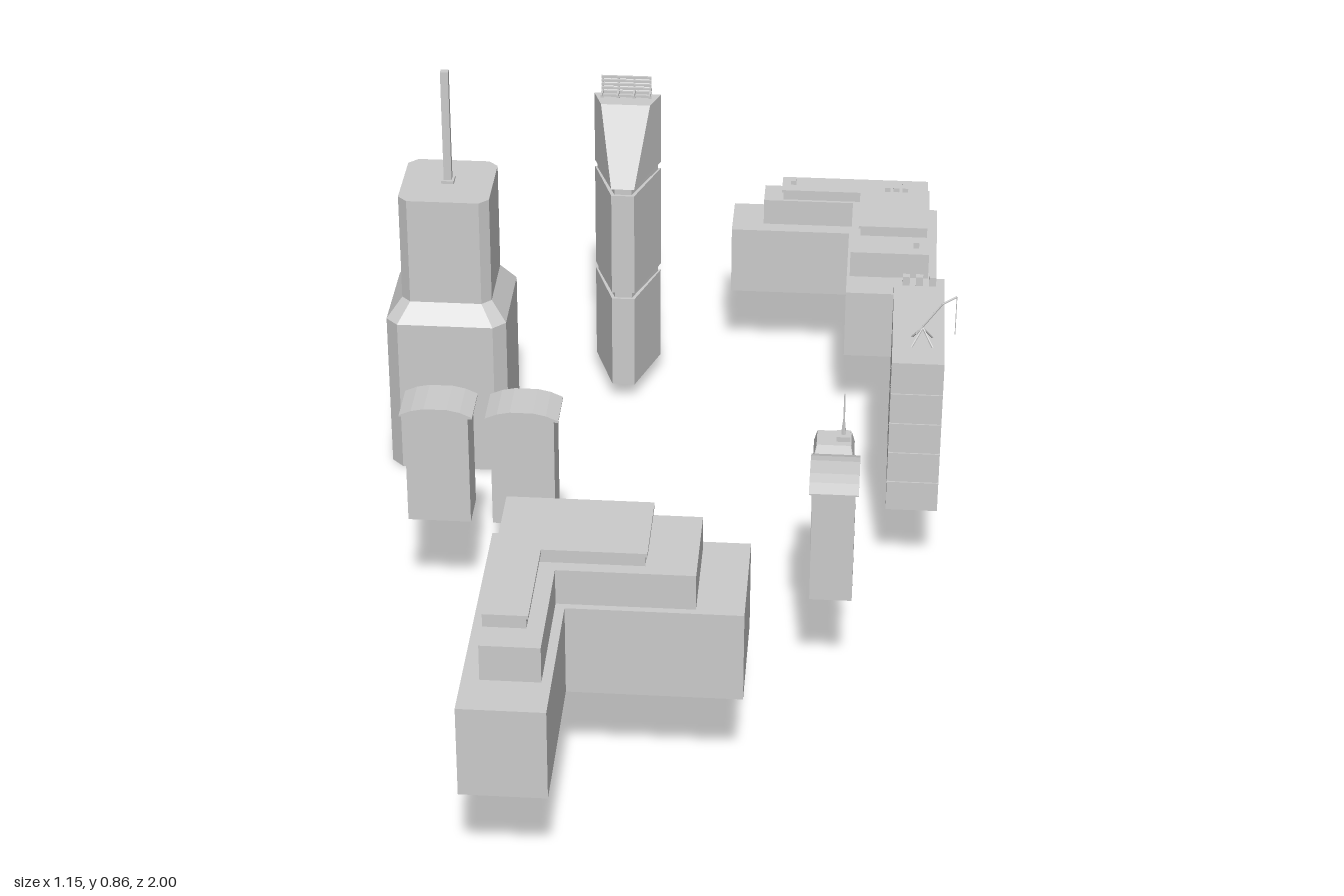
import * as THREE from 'three';

const grey = new THREE.MeshStandardMaterial({ color: 0xcccccc, flatShading: true, side: THREE.DoubleSide });

function add(parent, name, geometry, x = 0, y = 0, z = 0) {
  const mesh = new THREE.Mesh(geometry, grey);
  mesh.name = name;
  mesh.position.set(x, y, z);
  parent.add(mesh);
  return mesh;
}

function group(parent, name, x = 0, y = 0, z = 0) {
  const g = new THREE.Group();
  g.name = name;
  g.position.set(x, y, z);
  parent.add(g);
  return g;
}

// Box given by its extents on each axis
function box(parent, name, x0, x1, y0, y1, z0, z1) {
  return add(parent, name, new THREE.BoxGeometry(x1 - x0, y1 - y0, z1 - z0),
    (x0 + x1) / 2, (y0 + y1) / 2, (z0 + z1) / 2);
}

// Closed solid through convex rings of [x, y, z], counter-clockwise from above
function loft(rings) {
  const out = [];
  const tri = (a, b, c) => out.push(...a, ...b, ...c);
  const n = rings[0].length;
  for (let r = 0; r < rings.length - 1; r++) {
    const a = rings[r], b = rings[r + 1];
    for (let i = 0; i < n; i++) {
      const j = (i + 1) % n;
      tri(a[i], a[j], b[j]);
      tri(a[i], b[j], b[i]);
    }
  }
  const bottom = rings[0], top = rings[rings.length - 1];
  for (let i = 1; i < n - 1; i++) {
    tri(bottom[0], bottom[i + 1], bottom[i]);
    tri(top[0], top[i], top[i + 1]);
  }
  const g = new THREE.BufferGeometry();
  g.setAttribute('position', new THREE.Float32BufferAttribute(out, 3));
  g.computeVertexNormals();
  return g;
}

// Square ring with cut corners
function octagon(hx, hz, c, y) {
  return [[hx, hz - c], [hx, c - hz], [hx - c, -hz], [c - hx, -hz],
    [-hx, c - hz], [-hx, hz - c], [c - hx, hz], [hx - c, hz]].map(([x, z]) => [x, y, z]);
}

// Prism from an outline of [x, z] between two heights
function prism(parent, name, outline, y0, y1) {
  const shape = new THREE.Shape(outline.map(([x, z]) => new THREE.Vector2(x, -z)));
  const g = new THREE.ExtrudeGeometry(shape, { depth: y1 - y0, bevelEnabled: false });
  g.rotateX(-Math.PI / 2);
  return add(parent, name, g, 0, y0, 0);
}

// Thin round bar between two points
function bar(parent, name, a, b, radius) {
  const path = new THREE.LineCurve3(new THREE.Vector3(...a), new THREE.Vector3(...b));
  return add(parent, name, new THREE.TubeGeometry(path, 1, radius, 5));
}

// Square tower with a set-back top and a tall mast
function mastTower(root) {
  const g = group(root, 'mastTower', -0.454, 0, -0.515);
  add(g, 'towerBody', loft([
    octagon(0.123, 0.122, 0.025, 0), octagon(0.123, 0.122, 0.025, 0.34),
    octagon(0.092, 0.094, 0.019, 0.38), octagon(0.092, 0.094, 0.019, 0.61),
  ]));
  box(g, 'mastBase', -0.013, 0.013, 0.61, 0.616, -0.013, 0.013);
  box(g, 'mast', -0.008, 0.008, 0.616, 0.855, -0.007, 0.007);
}

// Wedge-shaped tower with recessed joints, a sloping front and a slatted crown
function wedgeTower(root) {
  const g = group(root, 'wedgeTower', -0.115, 0, 0);
  const ring = (y, d = 0, slope = 0) => {
    const zf = -0.697 - d - slope, zb = -0.832 + d;
    const hf = 0.024 - d + slope * 0.34, hb = 0.07 - d;
    return [[hf, y, zf], [hb, y, zb], [-hb, y, zb], [-hf, y, zf]];
  };
  const d = 0.006;
  add(g, 'towerBody', loft([
    ring(0.04), ring(0.25), ring(0.25, d), ring(0.265, d), ring(0.265),
    ring(0.495), ring(0.495, d), ring(0.51, d), ring(0.51), ring(0.667, 0, 0.08),
  ]));
  for (let i = 0; i < 6; i++) {
    const y = 0.672 + i * 0.0085;
    box(g, 'crownSlat', -0.052, 0.052, y, y + 0.005, -0.808, -0.803);
  }
  for (let i = 0; i < 4; i++) {
    const x = -0.05 + i * 0.0333;
    box(g, 'crownPost', x - 0.002, x + 0.002, 0.667, 0.717, -0.812, -0.808);
    box(g, 'crownBracket', x - 0.002, x + 0.002, 0.683, 0.689, -0.815, -0.775);
  }
}

// L outlines: the arm along x lies at the back, the other arm runs forward
const ell = (x0, x1, z0, z1, xi, zi) =>
  [[x0, z0], [x1, z0], [x1, zi], [xi, zi], [xi, z1], [x0, z1]];
const ellMirrored = (x0, x1, z0, z1, xi, zi) =>
  [[x0, z0], [x1, z0], [x1, z1], [xi, z1], [xi, zi], [x0, zi]];

// Stepped L-shaped block at the front
function frontBlock(root) {
  const g = group(root, 'frontBlock');
  prism(g, 'lowerTier', ell(-0.253, 0.213, 0.465, 1, -0.1, 0.693), 0.23, 0.408);
  prism(g, 'middleTier', ell(-0.222, 0.128, 0.492, 0.915, -0.117, 0.68), 0.408, 0.478);
  prism(g, 'upperTier', ell(-0.222, 0.038, 0.494, 0.859, -0.147, 0.656), 0.478, 0.499);
  prism(g, 'roofCap', ell(-0.222, 0.042, 0.494, 0.863, -0.143, 0.66), 0.499, 0.506);
}

// Stepped L-shaped block at the back
function rearBlock(root) {
  const g = group(root, 'rearBlock');
  prism(g, 'lowerTier', ellMirrored(0.105, 0.545, -1, -0.616, 0.357, -0.878), 0.18, 0.33);
  prism(g, 'middleTier', ellMirrored(0.172, 0.527, -0.98, -0.688, 0.363, -0.91), 0.33, 0.387);
  prism(g, 'upperTier', ellMirrored(0.213, 0.522, -0.976, -0.764, 0.382, -0.917), 0.387, 0.405);
  prism(g, 'roofCap', ellMirrored(0.21, 0.522, -0.976, -0.76, 0.378, -0.913), 0.405, 0.411);
  for (const x of [0.436, 0.455, 0.474])
    box(g, 'roofUnit', x - 0.006, x + 0.006, 0.411, 0.42, -0.95, -0.922);
  box(g, 'roofVent', 0.228, 0.24, 0.411, 0.42, -0.95, -0.94);
  box(g, 'roofVent', 0.494, 0.506, 0.387, 0.4, -0.726, -0.714);
}

// Banded slab with roof units and a crane
function craneSlab(root) {
  const g = group(root, 'craneSlab', 0.504, 0, 0);
  const step = 0.066, gap = 0.003;
  for (let i = 0; i < 5; i++) {
    const y = 0.172 + i * step;
    box(g, 'floorBand', -0.05, 0.05, y, y + step - (i < 4 ? gap : 0), -0.375, -0.036);
    if (i < 4) box(g, 'floorJoint', -0.047, 0.047, y + step - gap, y + step, -0.372, -0.039);
  }
  for (const x of [-0.026, 0, 0.026])
    box(g, 'roofUnit', x - 0.007, x + 0.007, 0.502, 0.521, -0.357, -0.343);
  const crane = group(g, 'crane', 0.007, 0.502, -0.12);
  for (const sx of [-1, 1]) for (const sz of [-1, 1])
    bar(crane, 'craneLeg', [sx * 0.02, 0, sz * 0.02], [0, 0.032, 0], 0.002);
  bar(crane, 'craneBoom', [-0.012, 0.018, 0], [0.035, 0.085, 0], 0.002);
  bar(crane, 'craneJib', [0.035, 0.085, 0], [0.062, 0.102, 0], 0.0018);
  bar(crane, 'craneCable', [0.062, 0.102, 0], [0.062, 0.02, 0], 0.0008);
}

// Small tower with an arched roof
function archedTower(root, x, z, turn = 0) {
  const g = group(root, 'archedTower', x, 0, z);
  g.rotation.y = turn;
  box(g, 'towerBody', -0.06, 0.06, 0.233, 0.466, -0.039, 0.039);
  const arch = [[-0.069, 0], [-0.069, 0.003], [-0.046, 0.013], [-0.022, 0.018],
    [0.022, 0.018], [0.046, 0.013], [0.069, 0.003], [0.069, 0]];
  const shape = new THREE.Shape(arch.map(p => new THREE.Vector2(...p)));
  add(g, 'archedRoof', new THREE.ExtrudeGeometry(shape, { depth: 0.09, bevelEnabled: false }), 0, 0.465, -0.045);
}

// Small tower with a tapered roof and aerial
function aerialTower(root) {
  const g = group(root, 'aerialTower', 0.352, 0, 0.173);
  add(g, 'towerBody', loft([
    octagon(0.038, 0.038, 0.001, 0.23), octagon(0.038, 0.038, 0.001, 0.43),
    octagon(0.032, 0.026, 0.001, 0.458),
  ]));
  box(g, 'roofHouse', 0.004, 0.03, 0.455, 0.468, -0.013, 0.013);
  add(g, 'aerialBase', new THREE.CylinderGeometry(0.003, 0.005, 0.025, 6), 0.017, 0.48, 0);
  add(g, 'aerial', new THREE.CylinderGeometry(0.0015, 0.002, 0.065, 6), 0.017, 0.522, 0);
}

export function createModel() {
  const root = new THREE.Group();
  root.name = 'cityBlocks';
  mastTower(root);
  wedgeTower(root);
  frontBlock(root);
  rearBlock(root);
  craneSlab(root);
  archedTower(root, -0.394, 0.125);
  archedTower(root, -0.232, 0.125);
  archedTower(root, 0.357, 0.316, Math.PI / 2);
  aerialTower(root);
  return root;
}
